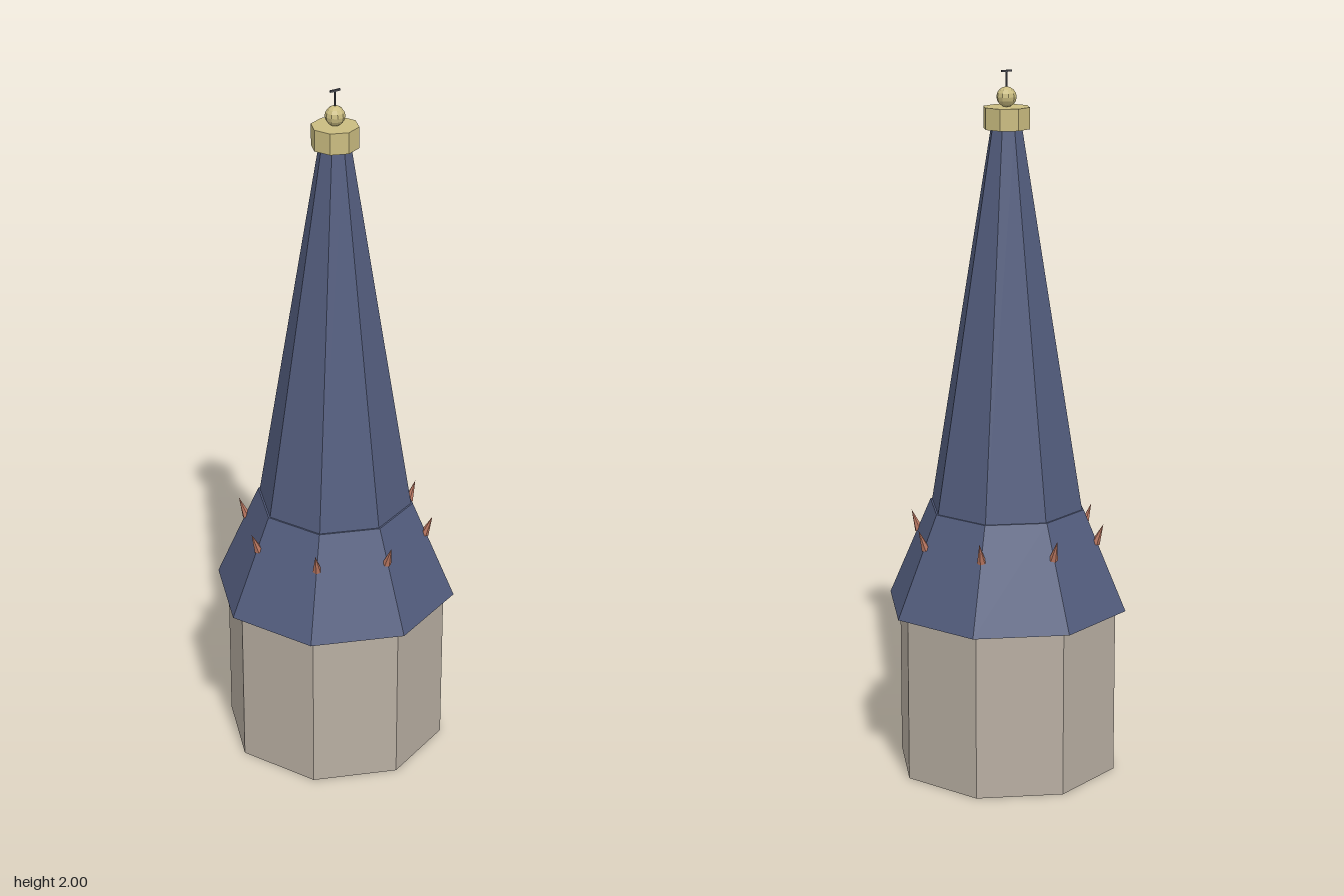
import * as THREE from 'three';

const mat = (name, color) => {
  const m = new THREE.MeshStandardMaterial({ color, flatShading: true });
  m.name = name;
  return m;
};

export function createModel() {
  const stone = mat('stone', 0xb8aea2);
  const slate = mat('slate blue', 0x535d7e);
  const gold = mat('gold', 0xcabc80);
  const copper = mat('copper', 0xb87660);
  const iron = mat('iron', 0x505058);

  const model = new THREE.Group();
  model.name = 'spire';

  const add = (name, geometry, material, y = 0, parent = model) => {
    const mesh = new THREE.Mesh(geometry, material);
    mesh.name = name;
    mesh.position.y = y;
    parent.add(mesh);
    return mesh;
  };
  // Octagonal tier between two heights, corners on the axes
  const tier = (name, rTop, rBottom, y0, y1, material) =>
    add(name, new THREE.CylinderGeometry(rTop, rBottom, y1 - y0, 8), material, (y0 + y1) / 2);

  tier('drum', 0.32, 0.32, 0, 0.48, stone);
  tier('flaredSkirt', 0.226, 0.35, 0.48, 0.77, slate);
  tier('steeple', 0.045, 0.221, 0.77, 1.84, slate);
  tier('collar', 0.066, 0.066, 1.84, 1.9, gold);

  // Finial: ball, rod and crossbar
  add('ball', new THREE.SphereGeometry(0.028, 10, 8), gold, 1.927);
  add('rod', new THREE.CylinderGeometry(0.003, 0.003, 0.06, 6), iron, 1.968);
  add('crossbar', new THREE.BoxGeometry(0.032, 0.005, 0.006), iron, 1.9975);

  // Ring of small spikes on the skirt ridges, leaning outward
  const spikeGeometry = new THREE.ConeGeometry(0.013, 0.062, 6);
  for (let i = 0; i < 8; i++) {
    const arm = new THREE.Group();
    arm.name = 'spikeArm';
    arm.rotation.y = (i * Math.PI) / 4;
    const spike = add('spike', spikeGeometry, copper, 0.703, arm);
    spike.position.z = 0.272;
    spike.rotation.x = 0.37;
    model.add(arm);
  }
  return model;
}
